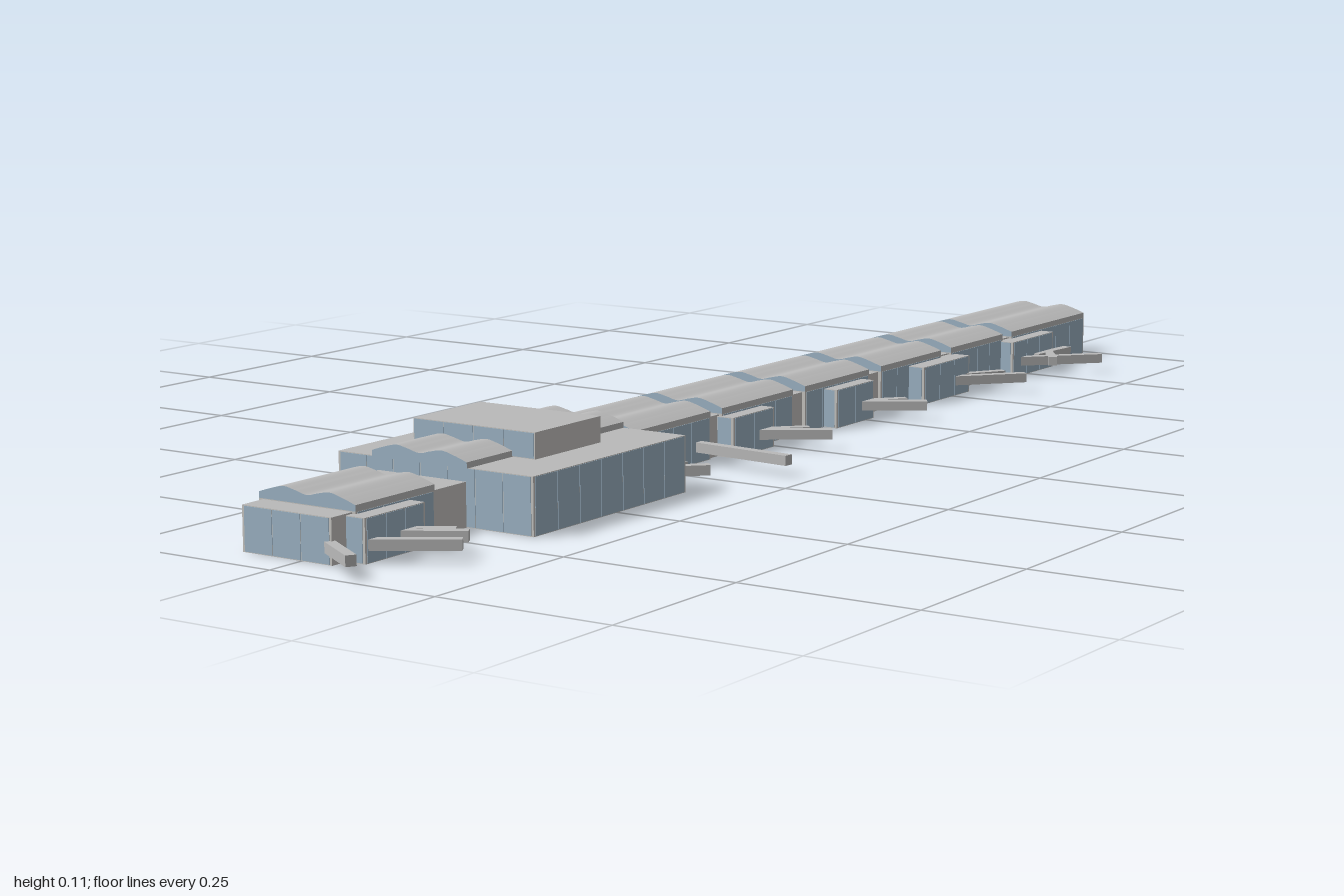
import * as THREE from 'three';

const mat = (name, color) => Object.assign(new THREE.MeshStandardMaterial({ color, side: THREE.DoubleSide }), { name });

export function createModel() {
  const model = new THREE.Group();
  model.name = 'terminal';
  const roof = mat('roofGrey', 0xbababa);
  const frame = mat('frameGrey', 0xc6c4c1);
  const glass = mat('glassBlue', 0x9cb3c4);

  const add = (parent, name, geometry, material, x = 0, y = 0, z = 0) => {
    const mesh = new THREE.Mesh(geometry, material);
    mesh.name = name;
    mesh.position.set(x, y, z);
    parent.add(mesh);
    return mesh;
  };

  // Hollow block, open underneath, with thin glass panes on the chosen walls
  function block(name, x0, x1, y0, y1, z0, z1, glazed = 'lrfb', margin = 0.003) {
    const group = new THREE.Group();
    group.name = name;
    model.add(group);
    const w = x1 - x0, h = y1 - y0, d = z1 - z0;
    const cx = (x0 + x1) / 2, cy = (y0 + y1) / 2, cz = (z0 + z1) / 2;
    const shell = new THREE.BoxGeometry(w, h, d);
    shell.groups = shell.groups.filter(g => g.materialIndex !== 3);
    add(group, name + 'Shell', shell, [frame, frame, roof, roof, frame, frame], cx, cy, cz);
    const panes = (side, length, place) => {
      const count = Math.max(1, Math.round(length / 0.046));
      const pitch = (length - 2 * margin) / count;
      for (let i = 0; i < count; i++) {
        const t = -length / 2 + margin + pitch * (i + 0.5);
        const [px, pz, alongX] = place(t);
        const size = pitch - 0.0012;
        add(group, name + side + 'Pane',
          new THREE.BoxGeometry(alongX ? size : 0.0016, h - 0.002, alongX ? 0.0016 : size), glass, px, cy, pz);
      }
    };
    if (glazed.includes('l')) panes('Left', d, t => [x1, cz + t, false]);
    if (glazed.includes('r')) panes('Right', d, t => [x0, cz + t, false]);
    if (glazed.includes('f')) panes('Front', w, t => [cx + t, z1, true]);
    if (glazed.includes('b')) panes('Back', w, t => [cx + t, z0, true]);
  }

  // Double-crested roof vault with glazed ends
  function vault(name, y, z0, z1) {
    const s = new THREE.Shape();
    s.moveTo(-0.1, y);
    s.lineTo(-0.1, y + 0.008);
    s.splineThru([[-0.08, 0.0145], [-0.06, 0.019], [-0.042, 0.016], [-0.023, 0.012],
      [-0.005, 0.016], [0.013, 0.019], [0.033, 0.0145], [0.053, 0.008]]
      .map(([px, py]) => new THREE.Vector2(px, y + py)));
    s.lineTo(0.053, y);
    s.closePath();
    const g = new THREE.ExtrudeGeometry(s, { depth: z1 - z0, bevelEnabled: false, curveSegments: 24 });
    add(model, name, g, [glass, roof], 0, 0, z0);
  }

  // Long concourse core
  block('concourse', -0.093, 0.048, 0, 0.059, -0.982, 0.942, 'fb');

  // Wider glazed bays, each under a vaulted roof
  for (const [z0, z1] of [[-0.985, -0.735], [-0.705, -0.54], [-0.508, -0.327], [-0.292, -0.113],
    [-0.08, 0.105], [0.135, 0.318], [0.75, 0.903]]) {
    block('bay', -0.1, 0.053, 0, 0.06, z0, z1, z0 < -0.9 ? 'lrb' : 'lr');
    vault('bayRoof', 0.06, z0, z1);
  }

  // Main hall with its raised vault and upper storey
  block('hall', -0.16, 0.153, 0, 0.077, 0.344, 0.68);
  vault('hallRoof', 0.077, 0.344, 0.685);
  block('upperStorey', -0.108, 0.089, 0.077, 0.112, 0.447, 0.59, 'fb', 0.001);

  // Gate lounges: side edge x, back z, front z
  for (const [x, z0, z1] of [
    [0.075, -0.835, -0.7], [0.08, -0.55, -0.41], [0.075, -0.27, -0.165], [0.075, 0.005, 0.11], [0.077, 0.8, 0.915],
    [-0.127, -0.76, -0.655], [-0.127, -0.545, -0.41], [-0.127, -0.24, -0.13], [-0.127, 0.04, 0.145],
  ]) block('gateLounge', x > 0 ? 0.045 : x, x > 0 ? x : -0.09, 0, 0.057, z0, z1);

  // Boarding bridges: x and z of the two ends
  for (const [xa, za, xb, zb] of [
    [-0.204, -0.92, -0.189, -0.997], [-0.13, -0.915, -0.095, -0.95],
    [-0.197, -0.632, -0.11, -0.657], [-0.158, -0.62, -0.12, -0.655],
    [-0.2, -0.32, -0.12, -0.425], [-0.16, -0.32, -0.11, -0.42],
    [-0.2, -0.045, -0.12, -0.145], [-0.16, -0.05, -0.11, -0.135],
    [-0.2, 0.24, -0.12, 0.13], [-0.155, 0.253, -0.11, 0.14],
    [0.086, -0.865, 0.078, -0.77], [0.165, -0.83, 0.07, -0.73], [0.08, -0.81, 0.117, -0.757],
    [0.153, -0.597, 0.075, -0.51], [0.113, -0.6, 0.075, -0.54],
    [0.152, -0.295, 0.07, -0.24], [0.113, -0.3, 0.07, -0.25],
    [0.157, -0.02, 0.07, 0.04], [0.118, -0.02, 0.07, 0.028],
    [0.05, 0.165, 0.211, 0.18], [0.157, 0.292, 0.095, 0.35], [0.118, 0.292, 0.085, 0.35],
    [0.145, 0.8, 0.07, 0.845], [0.123, 0.797, 0.07, 0.828], [0.168, 0.842, 0.07, 0.907], [0.045, 0.942, 0.115, 0.987],
  ]) {
    const length = Math.hypot(xb - xa, zb - za);
    const bridge = add(model, 'boardingBridge', new THREE.BoxGeometry(0.014, 0.014, length), roof,
      (xa + xb) / 2, 0.023, (za + zb) / 2);
    bridge.rotation.y = Math.atan2(xb - xa, zb - za);
  }
  return model;
}
